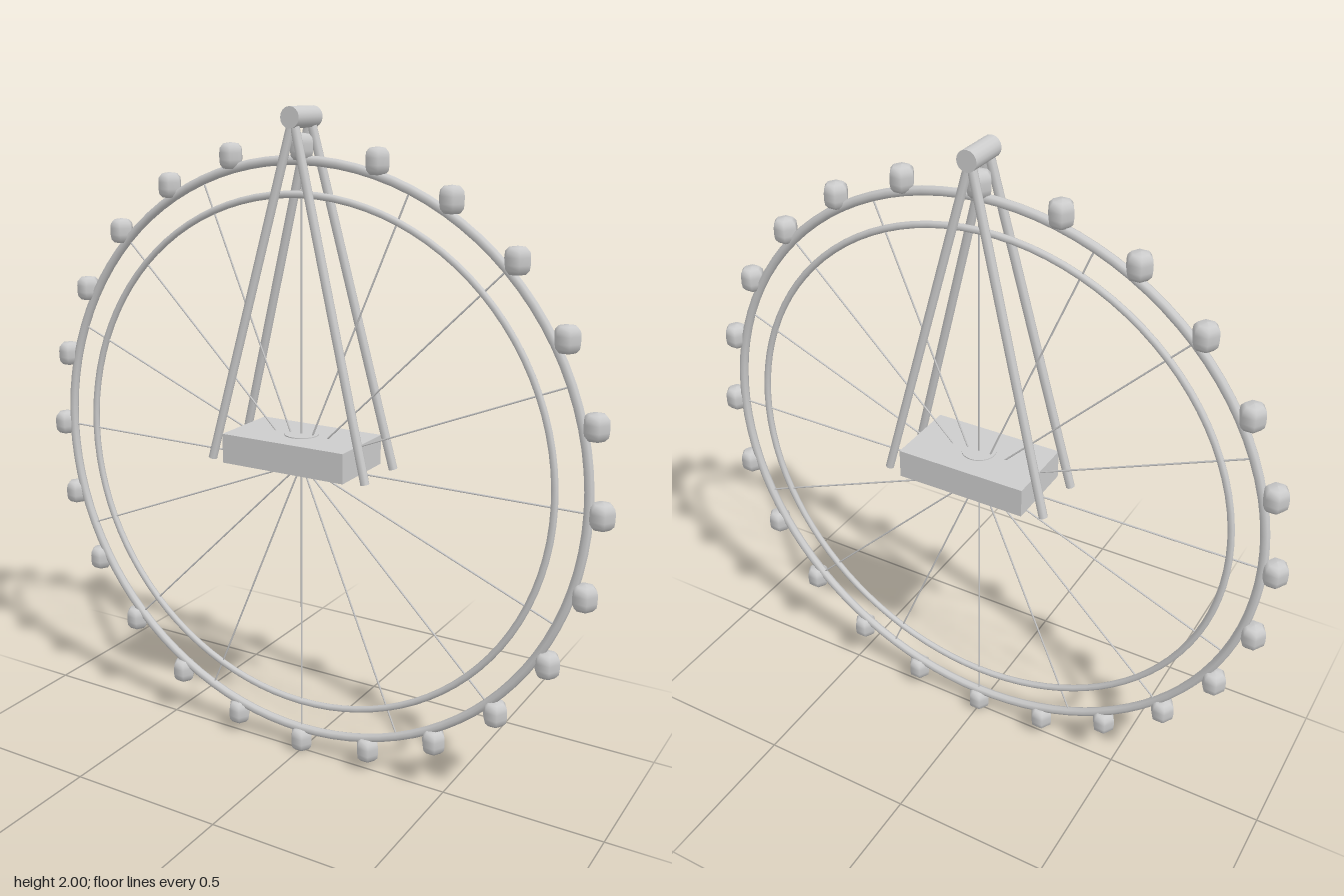
import * as THREE from 'three';

const CENTER_Y = 0.964;
const steel = new THREE.MeshStandardMaterial({ color: 0xcccccc });
steel.name = 'light steel grey';

function add(parent, name, geometry, x = 0, y = 0, z = 0) {
  const mesh = new THREE.Mesh(geometry, steel);
  mesh.name = name;
  mesh.position.set(x, y, z);
  parent.add(mesh);
  return mesh;
}

// Round bar running between two points
function bar(parent, name, from, to, radius, sides) {
  const dir = to.clone().sub(from);
  const mesh = add(parent, name, new THREE.CylinderGeometry(radius, radius, dir.length(), sides));
  mesh.position.copy(from).add(to).multiplyScalar(0.5);
  mesh.quaternion.setFromUnitVectors(new THREE.Vector3(0, 1, 0), dir.normalize());
}

export function createModel() {
  const model = new THREE.Group();
  model.name = 'observationWheel';

  const wheel = new THREE.Group();
  wheel.name = 'wheel';
  wheel.position.y = CENTER_Y;
  model.add(wheel);

  // Two concentric rims
  add(wheel, 'outerRim', new THREE.TorusGeometry(0.889, 0.014, 8, 96));
  add(wheel, 'innerRim', new THREE.TorusGeometry(0.794, 0.0105, 8, 96));

  // Spokes from the centre to the outer rim
  for (let i = 0; i < 16; i++) {
    const a = (i * Math.PI) / 8;
    const tip = new THREE.Vector3(Math.cos(a), Math.sin(a), 0).multiplyScalar(0.889);
    bar(wheel, 'spoke', new THREE.Vector3(), tip, 0.0027, 6);
  }

  // Upright six-sided cabins with rounded ends
  const half = [[0.037, 0.01], [0.035, 0.024], [0.025, 0.035], [0, 0.039]];
  const profile = [
    ...half.slice().reverse().map(([r, y]) => new THREE.Vector2(r, -y)),
    ...half.map(([r, y]) => new THREE.Vector2(r, y)),
  ];
  const cabin = new THREE.LatheGeometry(profile, 6, Math.PI / 2);
  for (let i = 0; i < 24; i++) {
    const a = (i * Math.PI) / 12;
    add(wheel, 'cabin', cabin, 0.925 * Math.cos(a), 0.925 * Math.sin(a), 0);
  }

  // Platform block, its underside level with the wheel centre, with a shallow disc on top
  add(model, 'platform', new THREE.BoxGeometry(0.412, 0.09, 0.234), 0, CENTER_Y + 0.045, 0);
  add(model, 'platformDisc', new THREE.CylinderGeometry(0.052, 0.052, 0.004, 24), 0, CENTER_Y + 0.091, 0);

  // Four splayed legs meeting at the top axle
  for (const sx of [-1, 1]) {
    for (const sz of [-1, 1]) {
      bar(model, 'supportLeg', new THREE.Vector3(sx * 0.263, CENTER_Y, sz * 0.088),
        new THREE.Vector3(0, 1.97, sz * 0.046), 0.0135, 8);
    }
  }

  const axle = add(model, 'topAxle', new THREE.CylinderGeometry(0.03, 0.03, 0.13, 16), 0, 1.97, 0);
  axle.rotation.x = Math.PI / 2;

  return model;
}
